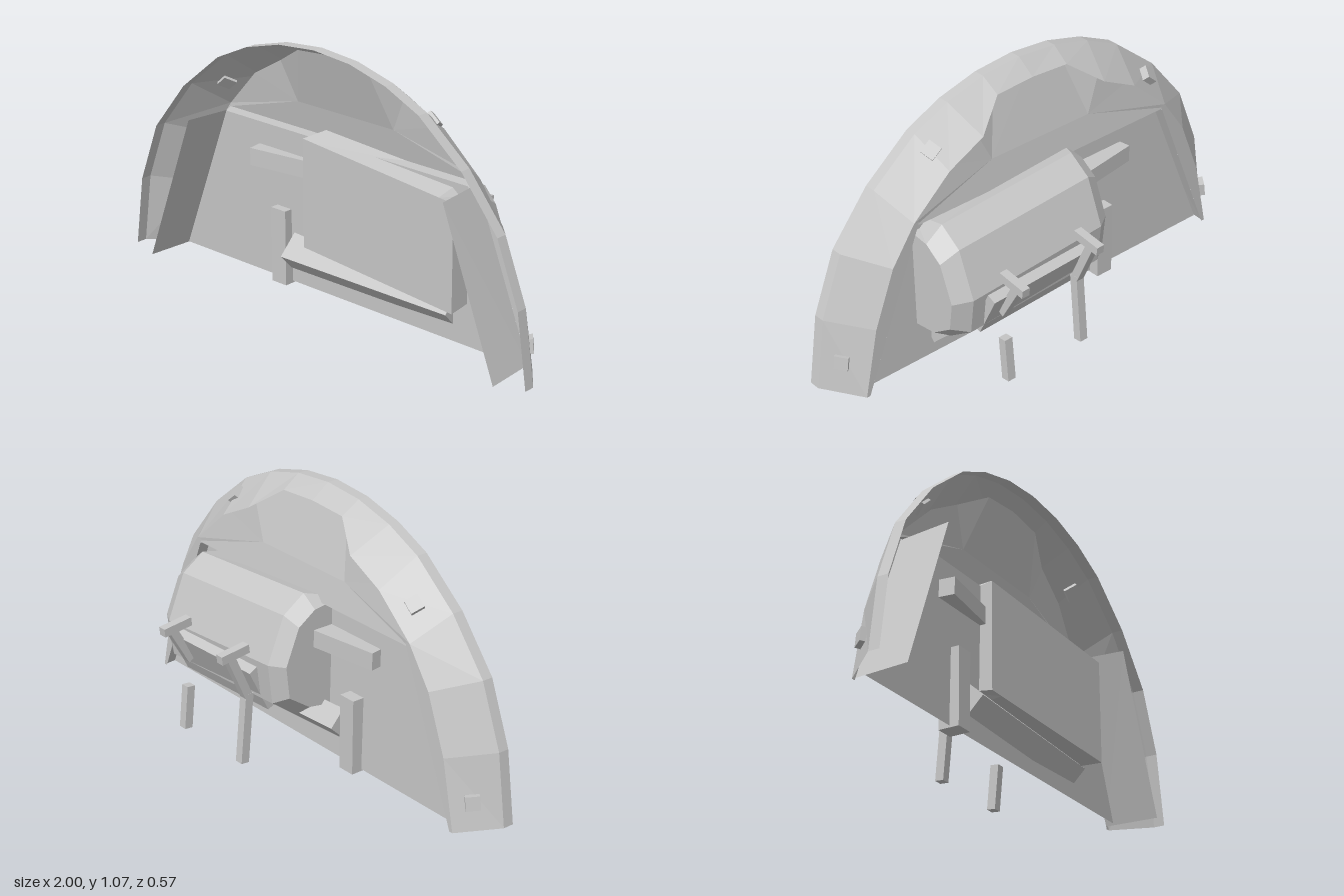
import * as THREE from 'three';

const grey = new THREE.MeshStandardMaterial({ color: 0xc6c6c6, side: THREE.DoubleSide, flatShading: true });
grey.name = 'plain grey';

// Skins a list of equal-length cross-sections; closed sections also get end caps
function loft(rows, closed = false) {
  const pos = [], n = rows[0].length;
  const tri = (a, b, c) => pos.push(...a, ...b, ...c);
  for (let i = 0; i < rows.length - 1; i++) {
    for (let j = 0; j < (closed ? n : n - 1); j++) {
      const k = (j + 1) % n;
      tri(rows[i][j], rows[i + 1][j], rows[i + 1][k]);
      tri(rows[i][j], rows[i + 1][k], rows[i][k]);
    }
  }
  if (closed) {
    const a = rows[0], b = rows[rows.length - 1];
    for (let j = 1; j < n - 1; j++) {
      tri(a[0], a[j], a[j + 1]);
      tri(b[0], b[j + 1], b[j]);
    }
  }
  const g = new THREE.BufferGeometry();
  g.setAttribute('position', new THREE.Float32BufferAttribute(pos, 3));
  g.computeVertexNormals();
  return g;
}

export function createModel() {
  const model = new THREE.Group();
  model.name = 'archedMount';
  const add = (name, geo) => {
    const m = new THREE.Mesh(geo, grey);
    m.name = name;
    model.add(m);
    return m;
  };
  const box = (name, w, h, d, x, y, z, rx = 0, ry = 0, rz = 0, order = 'XYZ') => {
    const m = add(name, new THREE.BoxGeometry(w, h, d));
    m.position.set(x, y, z);
    m.rotation.set(rx, ry, rz, order);
    return m;
  };
  const mirrorHalf = half => [
    ...half.map(([x, y, z]) => [-x, y, z]),
    ...half.slice(0, -1).reverse()
  ];

  // Arched rim: half profiles from the foot to the crown
  const outer = [[1, 0.04], [0.957, 0.33], [0.86, 0.578], [0.695, 0.78], [0.5, 0.938], [0.345, 1.01], [0.175, 1.055], [0, 1.07]]
    .map(([x, y]) => [x, y, 0.21]);
  const back = [[0.885, 0.02, 0.065], [0.825, 0.3, 0.065], [0.735, 0.53, 0.065], [0.63, 0.68, 0.065],
    [0.46, 0.83, 0.065], [0.3, 0.91, 0.065], [0.17, 1.005, 0.135], [0, 1.015, 0.135]];
  add('archedRim', loft([
    mirrorHalf(outer.map(([x, y]) => [x, y, 0.255])),
    mirrorHalf(outer),
    mirrorHalf(back)
  ]));

  // Upper panel: folded sheet set just inside the rim, leaning forward to the crown
  const inset = [0, 0.2, 0.3, 0.35, 0.4];
  const arc = back.slice(3).map(([x, y, z], i) => {
    const [ox, oy, oz] = outer[i + 3], t = inset[i], fit = t ? 0.992 : 1;
    return [(x + (ox - x) * t) * fit, (y + (oy - y) * t) * fit, z + (oz - z) * t];
  });
  const edge = mirrorHalf([[0.63, 0.665, 0.066], ...arc]);
  const fold = [[-0.24, 0.78, 0.09], [0, 0.78, 0.09], [0.24, 0.78, 0.09]];
  add('upperPanel', loft([edge, edge.map(([x]) => fold[x < -0.01 ? 0 : x > 0.01 ? 2 : 1])]));
  add('upperPanelBase', loft([[[-0.63, 0.665, 0.066], [0, 0.665, 0.066], [0.63, 0.665, 0.066]], fold]));

  // Lower wall with its top ledge
  add('lowerWall', loft([
    [[-0.86, 0.035, 0.1], [0.86, 0.035, 0.1]],
    [[-0.61, 0.662, 0.11], [0.61, 0.662, 0.11]],
    [[-0.63, 0.665, 0.066], [0.63, 0.665, 0.066]]
  ]));

  // Side flanges, and infill plates from each flange to the rim
  for (const s of [-1, 1]) {
    const side = s > 0 ? 'left' : 'right';
    add(side + 'Flange', loft([
      [[s * 0.865, 0.03, 0.065], [s * 0.88, 0.03, 0.285]],
      [[s * 0.615, 0.66, 0.065], [s * 0.64, 0.66, 0.285]]
    ]));
    add(side + 'Infill', loft([
      back.slice(0, 4).map(([x, y, z]) => [s * x, y, z]),
      back.slice(0, 4).map(([, y, z]) => [s * (0.877 - 0.397 * y), y, z])
    ]));
  }

  // Faceted housing: (z, y) section, reduced at both ends and tapering to +x
  const section = [[0.16, 0.67], [0.02, 0.705], [-0.075, 0.64], [-0.15, 0.455], [-0.13, 0.29], [-0.01, 0.207], [0.16, 0.228]];
  const slice = (x, scale) => section.map(([z, y], i) => {
    const t = (x + 0.14) / 0.74;
    const front = i === 0 || i === 6;
    const drop = t * (y > 0.4 ? 0.05 : 0.035);
    return [x, 0.44 + (y - 0.44) * (front ? 1 : scale) - drop,
      front ? z + 0.03 * t : 0.05 + (z - 0.05) * scale];
  });
  add('housing', loft([slice(-0.15, 0.8), slice(-0.09, 1), slice(0.54, 1), slice(0.61, 0.8)], true));

  // Steep tray below the housing, slightly turned
  box('tray', 0.8, 0.09, 0.14, 0.145, 0.177, 0.085, 0.76, 0.02, -0.04);

  // Support bar and post passing through the wall
  box('supportBar', 0.3, 0.07, 0.11, -0.28, 0.535, 0.095, 0, 0.14, 0);
  box('supportPost', 0.075, 0.31, 0.085, -0.305, 0.182, 0.097);

  // Inclined plate behind the housing
  box('backPlate', 0.5, 0.2, 0.04, 0.23, 0.317, -0.127, -0.46, 0.03, 0);

  // Bent handles made of straight bars in the z-y plane; the left leg is a separate stub
  const bar = (name, x, [z1, y1], [z2, y2], t) =>
    box(name, t, Math.hypot(z2 - z1, y2 - y1) + 0.015, t, x, (y1 + y2) / 2, (z1 + z2) / 2,
      Math.atan2(z2 - z1, y2 - y1));
  [['right', 0.036, 0, 0.285], ['left', 0.402, -0.02, 0.175]].forEach(([side, x, dy, legTop]) => {
    bar(side + 'HandleGrip', x, [-0.16, 0.482 + dy], [-0.273, 0.468 + dy], 0.035);
    bar(side + 'HandleArm', x, [-0.235, 0.46 + dy], [-0.157, 0.285 - dy], 0.035);
    bar(side + 'HandleLeg', x, [-0.176 + legTop * 0.08, legTop], [-0.177, 0.009], 0.036);
  });

  // Thin clamps lying on the rim: x, y, z, direction of the surface normal
  [[-0.915, 0.14, 0.13, 3.0], [-0.585, 0.8, 0.125, 2.3], [0.475, 0.885, 0.15, 0.9], [0.925, 0.162, 0.15, 0.14]]
    .forEach(([x, y, z, a]) => box('rimClamp', 0.04, 0.055, 0.055, x, y, z, 0, 0.65, a, 'ZYX'));

  return model;
}
